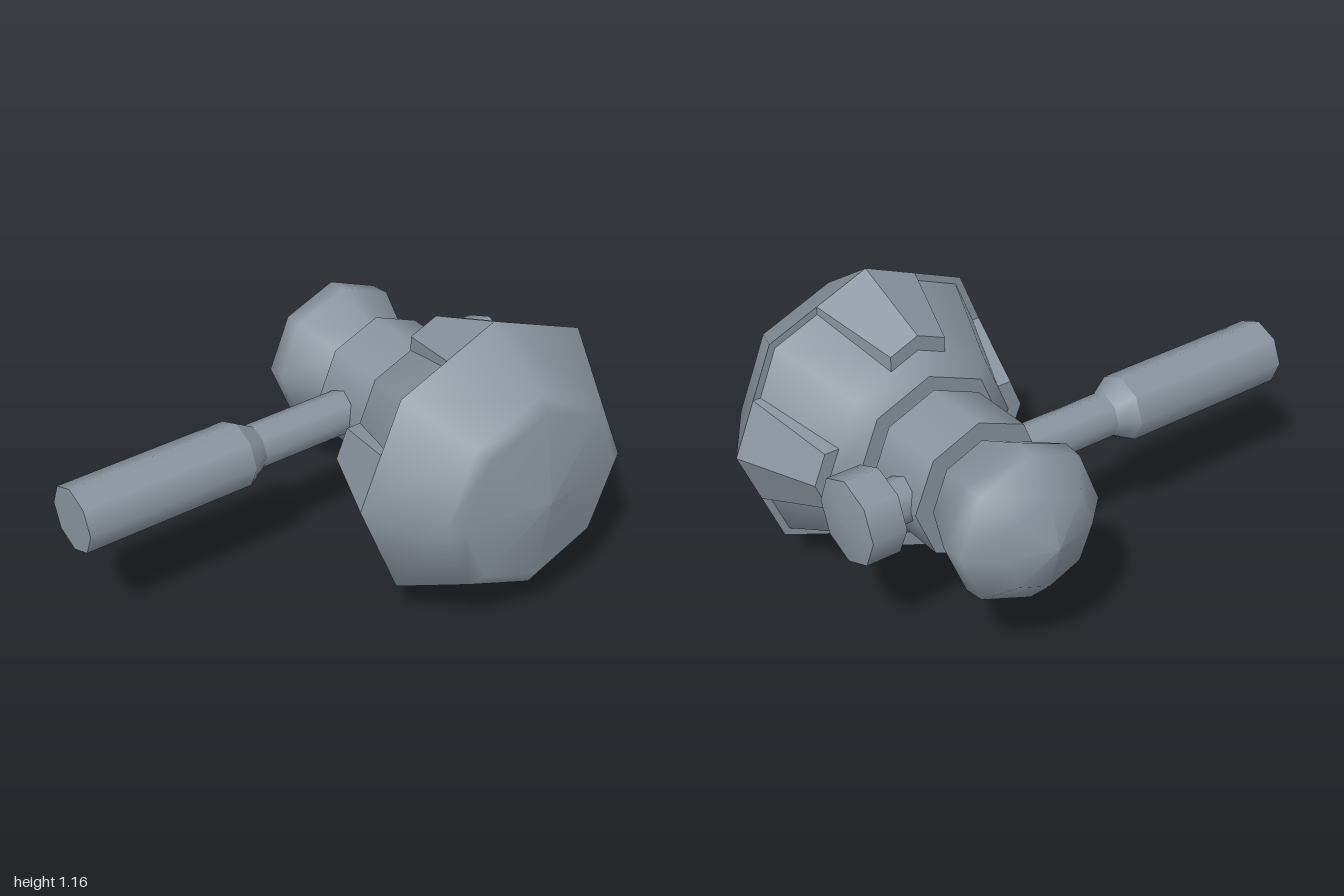
import * as THREE from 'three';
import { mergeGeometries } from 'three/addons/utils/BufferGeometryUtils.js';
import { ConvexGeometry } from 'three/addons/geometries/ConvexGeometry.js';

const SIDES = 8;
const AXIS_Y = 0.585;   // height of head and handle axes
const HEAD_Z = -0.42;   // depth of the head axis
const HANDLE_X = -0.18; // sideways position of the handle axis

export function createModel() {
  const group = new THREE.Group();
  const steel = new THREE.MeshStandardMaterial({ color: 0x8a949f });
  steel.name = 'steel grey';

  // Turned eight-sided part; each section is smooth, with hard edges between sections.
  // Points are [distance along axis, radius].
  function turned(name, axis, sections) {
    const geo = mergeGeometries(sections.map((s) =>
      new THREE.LatheGeometry(s.map(([a, r]) => new THREE.Vector2(r, a)), SIDES)));
    if (axis === 'x') geo.rotateZ(-Math.PI / 2).translate(0, AXIS_Y, HEAD_Z);
    else geo.rotateX(Math.PI / 2).translate(HANDLE_X, AXIS_Y, 0);
    const mesh = new THREE.Mesh(geo, steel);
    mesh.name = name;
    group.add(mesh);
  }

  // Large striking head: back plate, flared body, rim step, domed face
  turned('largeHead', 'x', [
    [[0, 0], [0, 0.315]],
    [[0, 0.315], [0.065, 0.392], [0.385, 0.55]],
    [[0.385, 0.54], [0.385, 0.58]],
    [[0.385, 0.58], [0.65, 0.408], [0.687, 0.352], [0.742, 0]],
  ]);

  // Small counter head
  turned('smallHead', 'x', [
    [[-0.745, 0], [-0.692, 0.183], [-0.585, 0.295], [-0.505, 0.302], [-0.31, 0.21]],
    [[-0.31, 0.21], [-0.31, 0]],
  ]);

  // Central collar
  turned('collar', 'x', [
    [[-0.294, 0], [-0.294, 0.272]],
    [[-0.294, 0.272], [-0.026, 0.272]],
    [[-0.026, 0.272], [-0.026, 0]],
  ]);

  // Handle neck passing through the collar
  turned('handleNeck', 'z', [[[-0.77, 0.086], [0.24, 0.086]]]);

  // Grip with a tapered shoulder
  turned('grip', 'z', [
    [[0.23, 0], [0.23, 0.086]],
    [[0.23, 0.086], [0.305, 0.13]],
    [[0.305, 0.13], [1, 0.13]],
    [[1, 0.13], [1, 0]],
  ]);

  // Domed end cap behind the collar
  turned('endCap', 'z', [
    [[-0.918, 0], [-0.915, 0.08], [-0.897, 0.165]],
    [[-0.897, 0.165], [-0.76, 0.165]],
    [[-0.76, 0.165], [-0.76, 0]],
  ]);

  // Four peaked ridges flaring toward the rim of the large head
  const slope = Math.tan(Math.PI / SIDES);
  const points = [];
  for (const [x, r, w] of [[0.065, 0.45, 0.115], [0.385, 0.58, 0.21]]) {
    points.push(new THREE.Vector3(x, r, 0));
    for (const side of [-1, 1]) {
      points.push(new THREE.Vector3(x, r - slope * w, side * w));
      points.push(new THREE.Vector3(x, r - slope * w - 0.09, side * w));
    }
  }
  const ridgeGeo = new ConvexGeometry(points);
  for (let i = 0; i < 4; i++) {
    const ridge = new THREE.Mesh(ridgeGeo, steel);
    ridge.name = 'headRidge' + (i + 1);
    ridge.position.set(0, AXIS_Y, HEAD_Z);
    ridge.rotation.x = i * Math.PI / 2;
    group.add(ridge);
  }
  return group;
}
